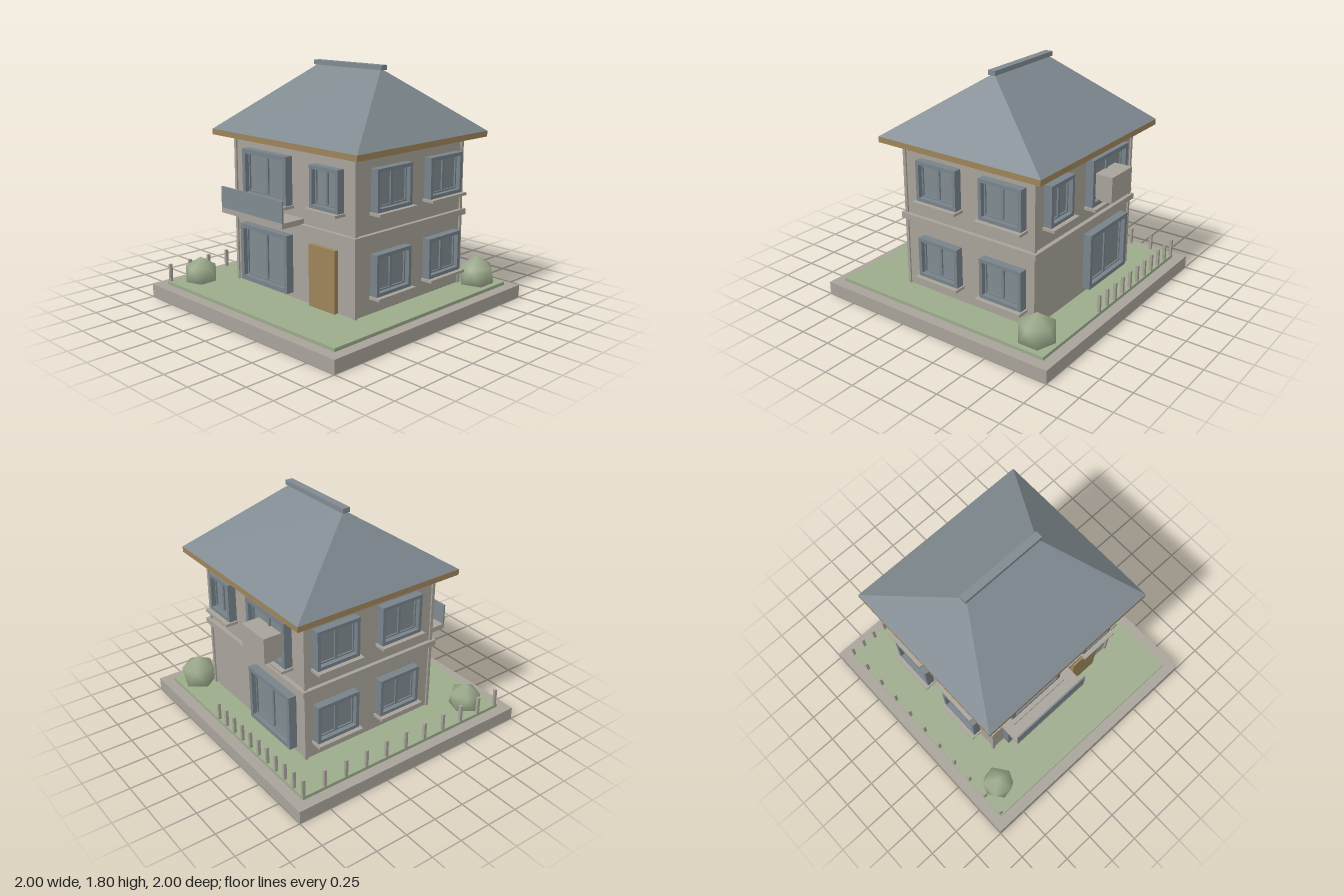
import * as THREE from 'three';
import { mergeVertices } from 'three/addons/utils/BufferGeometryUtils.js';

const material = (name, color) => {
  const m = new THREE.MeshStandardMaterial({ color });
  m.name = name;
  return m;
};

export function createModel() {
  const model = new THREE.Group();
  model.name = 'house';

  const stone = material('stone', 0xa8a39a);
  const slate = material('slate', 0x7f8a90);
  const frameGrey = material('frame grey', 0x77838a);
  const wood = material('wood', 0x9e8459);
  const grass = material('grass', 0x9dab8c);

  const add = (parent, name, geometry, mat) => {
    const mesh = new THREE.Mesh(geometry, mat);
    mesh.name = name;
    parent.add(mesh);
    return mesh;
  };
  // Box given by its extents on each axis
  const box = (parent, name, mat, [x0, x1], [y0, y1], [z0, z1]) => {
    const mesh = add(parent, name, new THREE.BoxGeometry(x1 - x0, y1 - y0, z1 - z0), mat);
    mesh.position.set((x0 + x1) / 2, (y0 + y1) / 2, (z0 + z1) / 2);
    return mesh;
  };

  // Plot
  box(model, 'base', stone, [-1, 1], [0, 0.1], [-1, 1]);
  box(model, 'lawn', grass, [-0.917, 0.917], [0.1, 0.125], [-0.917, 0.917]);

  // Walls, corner posts and floor band
  const wall = { left: 0.663, right: -0.591, front: 0.472, back: -0.662 };
  box(model, 'walls', stone, [wall.right, wall.left], [0.125, 1.265], [wall.back, wall.front]);
  for (const x of [wall.right, wall.left]) {
    for (const z of [wall.back, wall.front]) {
      box(model, 'cornerPost', stone, [x - 0.012, x + 0.012], [0.125, 1.262], [z - 0.012, z + 0.012]);
    }
  }
  box(model, 'floorBand', stone, [-0.621, 0.694], [0.664, 0.708], [-0.695, 0.504]);

  // Hipped roof: a box whose top is pulled in to the ridge
  const [rx0, rx1, rz0, rz1] = [-0.717, 0.795, -0.797, 0.596];
  box(model, 'eaves', wood, [rx0, rx1], [1.26, 1.303], [rz0, rz1]);
  const roof = box(model, 'roof', slate, [rx0, rx1], [1.303, 1.775], [rz0, rz1]);
  const rp = roof.geometry.attributes.position;
  for (let i = 0; i < rp.count; i++) {
    if (rp.getY(i) > 0) {
      rp.setX(i, Math.sign(rp.getX(i)) * 0.322);
      rp.setZ(i, Math.sign(rp.getZ(i)) * 0.006);
    }
  }
  roof.geometry.computeVertexNormals();
  box(model, 'ridgeCap', slate, [-0.308, 0.385], [1.77, 1.805], [-0.132, -0.073]);

  // Rectangular ring, extruded towards +z
  const ring = (w, h, border, depth) => {
    const rect = (Type, a, b) => new Type([
      new THREE.Vector2(-a, -b), new THREE.Vector2(a, -b),
      new THREE.Vector2(a, b), new THREE.Vector2(-a, b),
    ]);
    const shape = rect(THREE.Shape, w / 2, h / 2);
    shape.holes.push(rect(THREE.Path, w / 2 - border, h / 2 - border));
    return new THREE.ExtrudeGeometry(shape, { depth, bevelEnabled: false });
  };

  // Window facing +z: deep frame, two sashes, recessed glass and optional sill
  const makeWindow = (w, h, border, sill) => {
    const g = new THREE.Group();
    g.name = 'window';
    add(g, 'frame', ring(w, h, border, 0.063), frameGrey);
    const iw = w - 2 * border, ih = h - 2 * border;
    for (const s of [-1, 1]) {
      const sash = add(g, 'sash', ring(iw / 2, ih, 0.011, 0.028), frameGrey);
      sash.position.x = s * iw / 4;
    }
    box(g, 'glass', slate, [-iw / 2, iw / 2], [-ih / 2, ih / 2], [0.008, 0.016]);
    if (sill) {
      box(g, 'sill', stone, [-w / 2 - 0.014, w / 2 + 0.014], [-h / 2 - 0.021, -h / 2], [0, 0.098]);
    }
    return g;
  };
  const place = (win, x, y, z, turn) => {
    win.position.set(x, y, z);
    win.rotation.y = turn;
    model.add(win);
  };

  // Front and back windows share one layout
  for (const [z, turn] of [[wall.front, 0], [wall.back, Math.PI]]) {
    place(makeWindow(0.521, 0.438, 0.033, false), -0.223, 0.384, z, turn);
    place(makeWindow(0.483, 0.358, 0.033, true), -0.205, 1.001, z, turn);
    place(makeWindow(0.278, 0.304, 0.026, true), 0.417, 1.01, z, turn);
  }
  // Side windows
  for (const [x, turn] of [[wall.left, Math.PI / 2], [wall.right, -Math.PI / 2]]) {
    for (const z of [0.141, -0.417]) {
      for (const y of [0.41, 1.01]) place(makeWindow(0.358, 0.304, 0.026, true), x, y, z, turn);
    }
  }

  // Door, balcony and wall unit
  box(model, 'door', wood, [0.238, 0.498], [0.125, 0.584], [0.46, 0.505]);
  box(model, 'balconySlab', stone, [-0.523, 0.156], [0.704, 0.744], [0.46, 0.677]);
  box(model, 'balconyPanel', slate, [-0.523, 0.156], [0.744, 0.904], [0.665, 0.677]);
  box(model, 'wallUnit', stone, [-0.342, -0.064], [0.845, 1.043], [-0.82, -0.66]);

  // Fence posts along the back and right edges
  const post = (x, z) => box(model, 'fencePost', stone,
    [x - 0.011, x + 0.011], [0.125, 0.26], [z - 0.011, z + 0.011]);
  for (let i = 0; i < 11; i++) {
    post(-0.905 + i * 0.1103, -0.905);
    if (i > 0) post(-0.905, -0.905 + i * 0.18);
  }

  // Bushes: smooth icosahedra standing on one corner
  const bush = (x, y, z, r) => {
    let geometry = new THREE.IcosahedronGeometry(r, 0);
    geometry.deleteAttribute('normal');
    geometry.deleteAttribute('uv');
    geometry = mergeVertices(geometry, 1e-4);
    geometry.rotateZ(-Math.atan(2 / (1 + Math.sqrt(5))));
    geometry.computeVertexNormals();
    add(model, 'bush', geometry, grass).position.set(x, y, z);
  };
  bush(-0.762, 0.178, 0.714, 0.134);
  bush(0.765, 0.189, -0.76, 0.15);

  return model;
}
